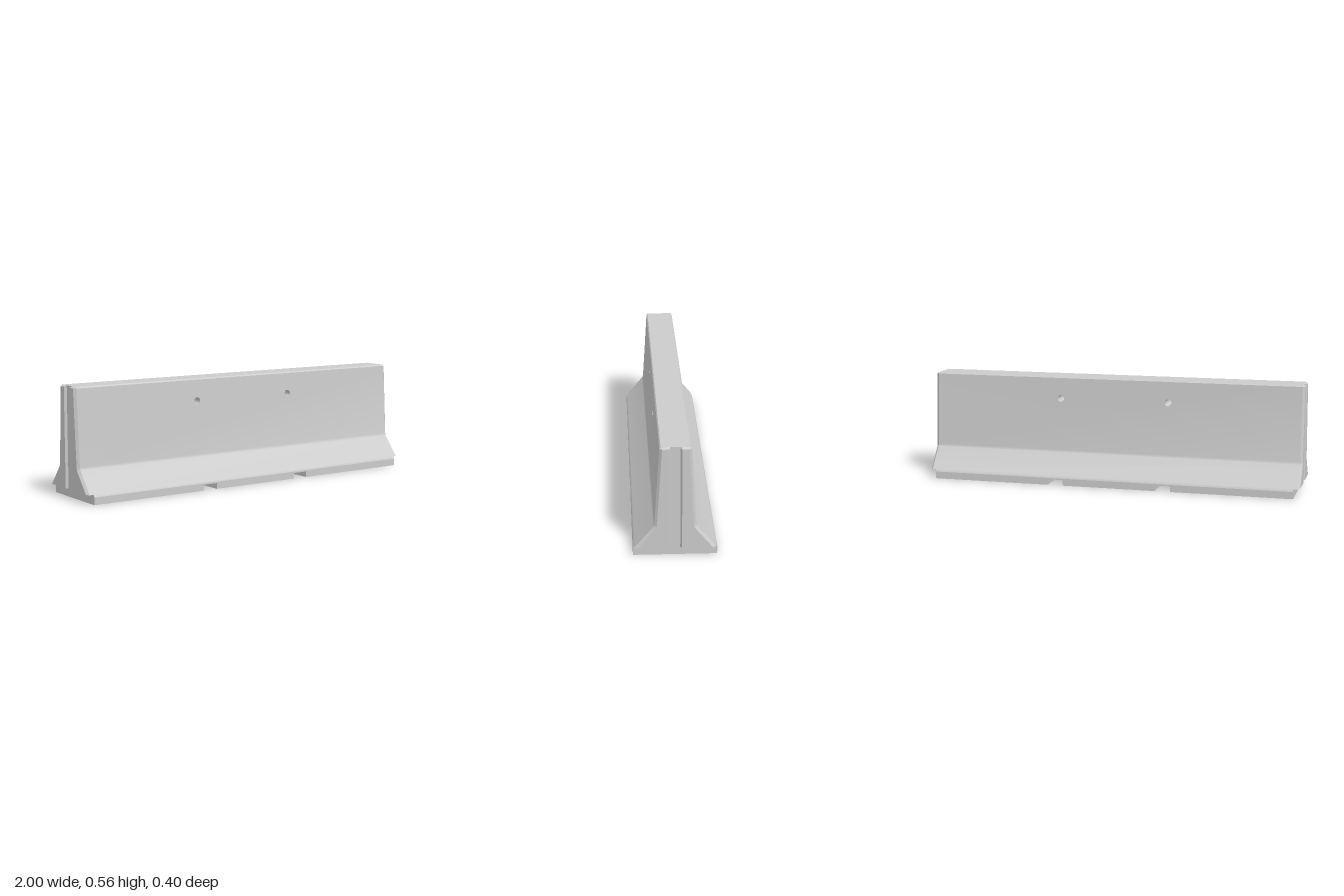
import * as THREE from 'three';
import { mergeGeometries, toCreasedNormals } from 'three/addons/utils/BufferGeometryUtils.js';

const X_END = 1, X_EDGE = 0.988, X_FOOT = 0.967; // end face, bevel edge / groove floor, foot end
const HOLE_X = 0.292, HOLE_Y = 0.447, HOLE_R = 0.018;
const WALL = { y0: 0.172, w0: 0.0985, y1: 0.556, w1: 0.0748 };

// half thickness of the sloping upper wall at height y
const wallHalf = (y) =>
  WALL.w0 + ((WALL.w1 - WALL.w0) * (y - WALL.y0)) / (WALL.y1 - WALL.y0);

// horizontal outline: bevelled ends, each with a shallow vertical groove
function ring(y, w, inset, edge = X_EDGE, end = X_END, floor = X_EDGE) {
  const half = [
    [edge, w], [end, w - inset], [end, 0.031], [floor, 0.023],
    [floor, -0.023], [end, -0.031], [end, inset - w], [edge, -w],
  ];
  return [...half, ...half.map(([x, z]) => [-x, -z])].map(([x, z]) => [x, y, z]);
}

function positionsOnly(g) {
  const out = g.index ? g.toNonIndexed() : g;
  out.deleteAttribute('normal');
  out.deleteAttribute('uv');
  return out;
}

function bodyGeometry() {
  const f = X_FOOT;
  const rings = [
    ring(0.037, 0.2, 0.016, f, f, f),
    ring(0.044, 0.1975, 0.016, f, f, f),
    ring(0.05, 0.193, 0.016, f, f, f),
    ring(0.05, 0.193, 0.016),
    ring(0.053, 0.1905, 0.016),
    ring(0.153, 0.1075, 0.0155),
    ring(0.158, 0.1035, 0.0145),
    ring(0.164, 0.1005, 0.013),
    ring(WALL.y0, WALL.w0, 0.012),
    ring(WALL.y1, WALL.w1, 0.012),
    ring(0.563, 0.069, 0.007, X_EDGE, X_EDGE, X_EDGE),
  ];
  const pos = [];
  const tri = (a, b, c) => pos.push(...a, ...b, ...c);
  for (let r = 0; r < rings.length - 1; r++) {
    const lo = rings[r], hi = rings[r + 1];
    for (let i = 0; i < 16; i++) {
      const j = (i + 1) % 16;
      if (r === rings.length - 3 && i % 8 === 7) continue; // drilled panels go here
      tri(lo[i], lo[j], hi[j]);
      tri(lo[i], hi[j], hi[i]);
    }
  }
  // flat top
  const top = rings[rings.length - 1];
  tri(top[0], top[7], top[8]);
  tri(top[0], top[8], top[15]);
  const shell = new THREE.BufferGeometry();
  shell.setAttribute('position', new THREE.Float32BufferAttribute(pos, 3));

  // sloping wall panels with two through holes
  const shape = new THREE.Shape([
    new THREE.Vector2(-X_EDGE, WALL.y0), new THREE.Vector2(X_EDGE, WALL.y0),
    new THREE.Vector2(X_EDGE, WALL.y1), new THREE.Vector2(-X_EDGE, WALL.y1),
  ]);
  for (const s of [-1, 1]) {
    shape.holes.push(new THREE.Path().absarc(s * HOLE_X, HOLE_Y, HOLE_R, 0, Math.PI * 2, true));
  }
  const panel = new THREE.ShapeGeometry(shape, 12);
  const p = panel.attributes.position;
  for (let i = 0; i < p.count; i++) p.setZ(i, wallHalf(p.getY(i)));
  const back = panel.clone().rotateY(Math.PI);

  return toCreasedNormals(mergeGeometries([shell, positionsOnly(panel), positionsOnly(back)]), 0.45);
}

// foot with two drainage slots running front to back
function footGeometry() {
  const h = 0.03, a = 0.251, b = 0.332;
  const right = [[a, 0], [a, h], [b, h], [b, 0], [X_FOOT, 0], [X_FOOT, 0.037]].reverse();
  const left = right.map(([x, y]) => [-x, y]).reverse();
  const shape = new THREE.Shape([...right, ...left].map(([x, y]) => new THREE.Vector2(x, y)));
  return new THREE.ExtrudeGeometry(shape, { depth: 0.4, bevelEnabled: false }).translate(0, 0, -0.2);
}

// hole lining, its ends trimmed to the sloping walls
function tunnelGeometry() {
  const g = new THREE.CylinderGeometry(HOLE_R, HOLE_R, 1, 24, 1, true).rotateX(Math.PI / 2);
  const p = g.attributes.position;
  for (let i = 0; i < p.count; i++) {
    p.setZ(i, Math.sign(p.getZ(i)) * wallHalf(HOLE_Y + p.getY(i)));
  }
  return g;
}

export function createModel() {
  const group = new THREE.Group();
  group.name = 'roadBarrier';
  const concrete = new THREE.MeshStandardMaterial({ color: 0xcccccc });
  const lining = new THREE.MeshStandardMaterial({ color: 0xcccccc, side: THREE.DoubleSide });
  const add = (name, geometry, material) => {
    const mesh = new THREE.Mesh(geometry, material);
    mesh.name = name;
    group.add(mesh);
    return mesh;
  };
  add('barrierBody', bodyGeometry(), concrete);
  add('slottedFoot', footGeometry(), concrete);
  for (const s of [-1, 1]) {
    add(s > 0 ? 'leftLiftingHole' : 'rightLiftingHole', tunnelGeometry(), lining)
      .position.set(s * HOLE_X, HOLE_Y, 0);
  }
  return group;
}
